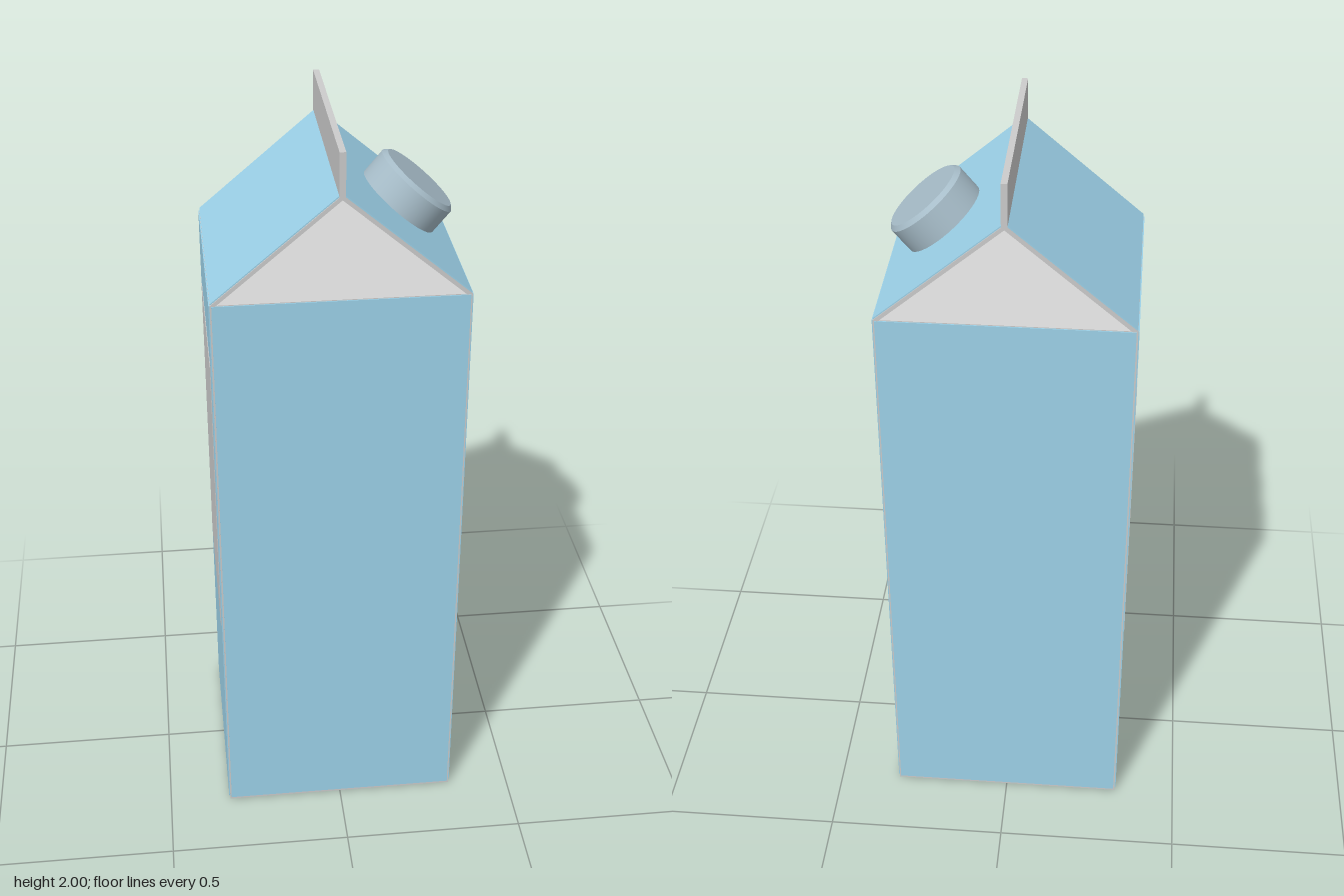
import * as THREE from 'three';

const W = 0.326, D = 0.305, H = 1.618, RIDGE = 1.893, SKIN = 0.003;

export function createModel() {
  const model = new THREE.Group();
  const grey = new THREE.MeshStandardMaterial({ color: 0xcccccc });
  const greyThin = new THREE.MeshStandardMaterial({ color: 0xcccccc, side: THREE.DoubleSide });
  const blue = new THREE.MeshStandardMaterial({ color: 0x9cd1e8 });
  const capBlue = new THREE.MeshStandardMaterial({ color: 0xa7bdc9 });

  const add = (name, geometry, material, x = 0, y = 0, z = 0) => {
    const mesh = new THREE.Mesh(geometry, material);
    mesh.name = name;
    mesh.position.set(x, y, z);
    model.add(mesh);
    return mesh;
  };
  const box = (name, w, h, d, material, x, y, z) =>
    add(name, new THREE.BoxGeometry(w, h, d), material, x, y, z);

  // Carton core, its pale edges showing between the coloured panels
  box('cartonCore', 2 * W, H, 2 * D, grey, 0, H / 2, 0);

  // Roof slope direction, shared by the roof panels and the cap
  const slope = Math.atan2(RIDGE - H, W);
  const length = Math.hypot(W, RIDGE - H);
  const n = { x: Math.sin(slope), y: Math.cos(slope) };

  for (const s of [1, -1]) {
    const side = s > 0 ? 'left' : 'right';
    const end = s > 0 ? 'front' : 'back';

    // Coloured wall panels
    box(end + 'Panel', 2 * W - 0.008, H - 0.01, SKIN, blue, 0, H / 2 + 0.003, s * (D + SKIN / 2));
    box(side + 'Panel', SKIN, H - 0.01, 2 * D - 0.008, blue, s * (W + SKIN / 2), H / 2 + 0.003, 0);

    // Label on each side wall
    box(side + 'Label', 0.002, 0.82, 0.5, grey, s * (W + SKIN + 0.0005), 1.01, 0);

    // Sloping roof: pale board with a coloured skin
    const roof = (name, thickness, offset, trim, material) => {
      const mesh = box(name, length - trim, thickness, 2 * D + 0.004 - trim, material,
        s * (W / 2 + n.x * offset), (H + RIDGE) / 2 + n.y * offset, 0);
      mesh.rotation.z = -s * slope;
    };
    roof(side + 'RoofBoard', 0.01, -0.005, 0, grey);
    roof(side + 'RoofSkin', SKIN, SKIN / 2, 0.006, blue);

    // Gable folded inwards under the roof
    const gable = new THREE.BufferGeometry();
    gable.setAttribute('position', new THREE.Float32BufferAttribute([
      -s * W, H, s * D, s * W, H, s * D, 0, RIDGE - 0.012, s * (D - 0.27)], 3));
    gable.computeVertexNormals();
    add(end + 'Gable', gable, greyThin);
  }

  // Sealed fin along the ridge
  box('ridgeFin', 0.016, 2 - RIDGE + 0.01, 2 * D + 0.004, grey, 0, (2 + RIDGE - 0.01) / 2, 0);

  // Screw cap with a bevelled rim, square to the left roof slope
  const cap = new THREE.Group();
  cap.name = 'screwCap';
  const capPart = (name, geometry, y) => {
    const mesh = new THREE.Mesh(geometry, capBlue);
    mesh.name = name;
    mesh.position.y = y;
    cap.add(mesh);
  };
  capPart('capSide', new THREE.CylinderGeometry(0.118, 0.118, 0.075, 48), 0.0375);
  capPart('capBevel', new THREE.CylinderGeometry(0.107, 0.118, 0.011, 48), 0.0805);
  cap.position.set(0.18, RIDGE - 0.18 * Math.tan(slope), 0);
  cap.rotation.z = -slope;
  model.add(cap);

  return model;
}
